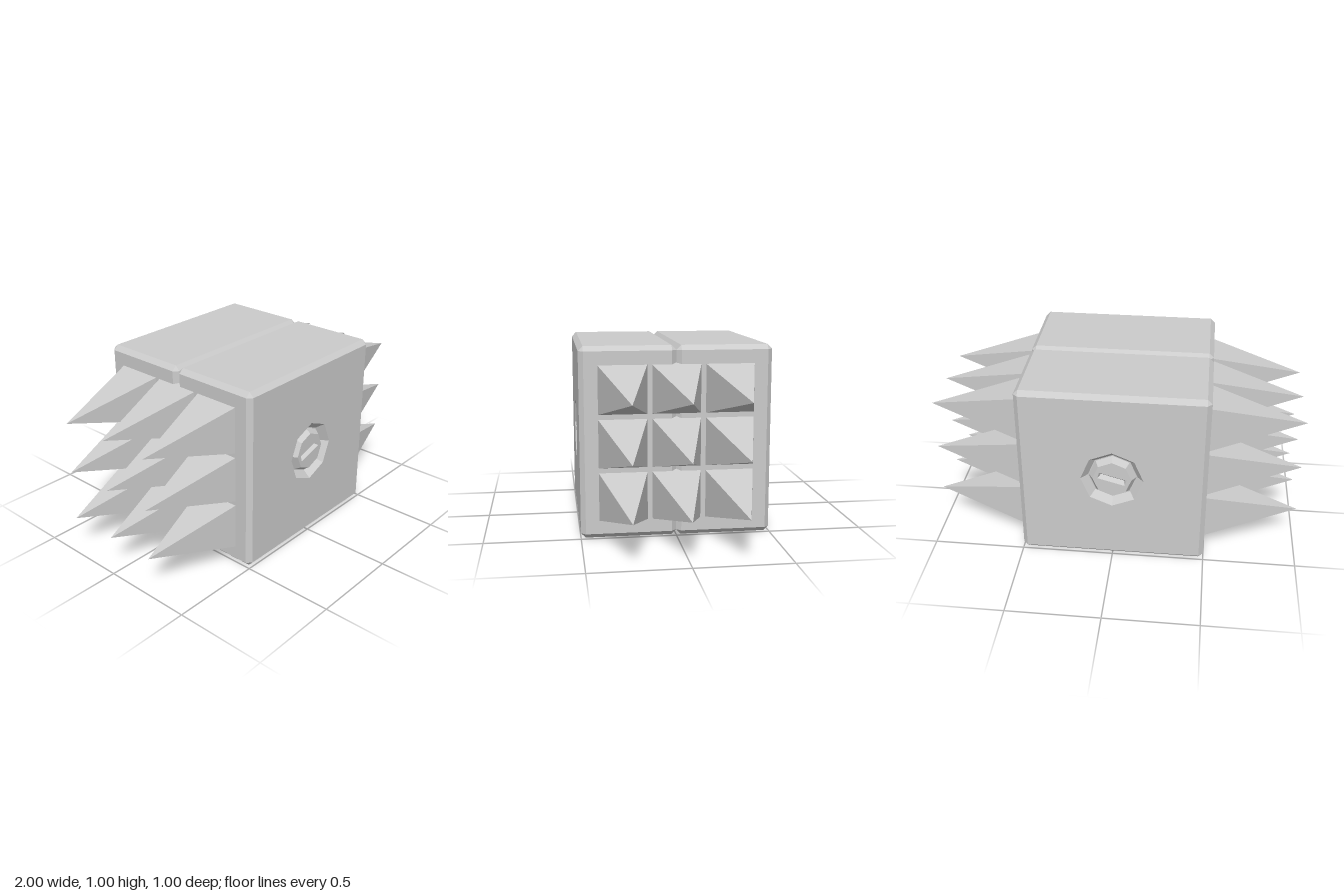
import * as THREE from 'three';

const material = new THREE.MeshStandardMaterial({ color: 0xcccccc, flatShading: true });
const BEVEL = 0.025, RIM = 0.167, HEAD = 0.103, HEAD_Z = -0.006;

function mesh(name, geometry) {
  const m = new THREE.Mesh(geometry, material);
  m.name = name;
  return m;
}

function faces(points, index) {
  const g = new THREE.BufferGeometry();
  g.setAttribute('position', new THREE.Float32BufferAttribute(points.flat(), 3));
  g.setIndex(index);
  g.computeVertexNormals();
  return g;
}

const octagon = (r) => Array.from({ length: 8 }, (_, i) =>
  new THREE.Vector2(r * Math.cos(i * Math.PI / 4), r * Math.sin(i * Math.PI / 4)));

const square = (s) => [[-s, -s], [s, -s], [s, s], [-s, s]].map(([x, y]) => new THREE.Vector2(x, y));

// Bevelled walls of one half, as rings of eight points from z = 0 to z = 0.5
function wallGeometry() {
  const a = 0.5 - BEVEL;
  const points = [], index = [];
  for (const [z, r] of [[0, a], [BEVEL, 0.5], [0.5 - BEVEL, 0.5], [0.5, a]]) {
    points.push([r, -a, z], [r, a, z], [a, r, z], [-a, r, z],
      [-r, a, z], [-r, -a, z], [-a, -r, z], [a, -r, z]);
  }
  for (let ring = 0; ring < 3; ring++) {
    for (let i = 0; i < 8; i++) {
      const p = ring * 8 + i, q = ring * 8 + (i + 1) % 8;
      // each corner closes to a single triangle at the end rings
      const corner = i % 2 === 1;
      if (!(corner && ring === 0)) index.push(p, q, p + 8);
      if (!(corner && ring === 2)) index.push(q, q + 8, p + 8);
    }
  }
  return faces(points, index);
}

// Countersunk screw with a V-shaped slot, facing +z
function createScrew(slotAngle) {
  const screw = new THREE.Group();
  screw.name = 'screw';

  const profile = [[RIM, 0], [0.132, -0.04], [0.126, -0.04], [HEAD, HEAD_Z]];
  const recess = new THREE.LatheGeometry(profile.map(([r, y]) => new THREE.Vector2(r, y)), 8);
  screw.add(mesh('countersinkAndHeadBevel', recess.rotateX(Math.PI / 2)));

  const l = 0.075, w = 0.018, keel = 0.062, depth = -0.022;
  const slotRim = [[-l, -w], [l, -w], [l, w], [-l, w]];
  const center = new THREE.Vector2();
  const top = new THREE.Shape(octagon(HEAD));
  top.holes.push(new THREE.Path(slotRim.map(([x, y]) =>
    new THREE.Vector2(x, y).rotateAround(center, slotAngle))));
  screw.add(mesh('screwHead', new THREE.ShapeGeometry(top).translate(0, 0, HEAD_Z)));

  const slot = faces(
    [...slotRim.map(([x, y]) => [x, y, 0]), [-keel, 0, depth], [keel, 0, depth]],
    [0, 1, 5, 0, 5, 4, 2, 3, 4, 2, 4, 5, 1, 2, 5, 3, 0, 4]);
  screw.add(mesh('screwSlot', slot.rotateZ(slotAngle).translate(0, 0, HEAD_Z)));
  return screw;
}

// One half of the block, with its outer face towards +z
function createHalf(name, slotAngle) {
  const half = new THREE.Group();
  half.name = name;
  half.add(mesh('walls', wallGeometry()));

  const outer = new THREE.Shape(square(0.5 - BEVEL));
  outer.holes.push(new THREE.Path(octagon(RIM)));
  half.add(mesh('outerFace', new THREE.ShapeGeometry(outer).translate(0, 0, 0.5)));

  const inner = new THREE.ShapeGeometry(new THREE.Shape(square(0.5 - BEVEL)));
  half.add(mesh('innerFace', inner.rotateY(Math.PI)));

  const screw = createScrew(slotAngle);
  screw.position.z = 0.5;
  half.add(screw);
  half.position.y = 0.5;
  return half;
}

// Three by three pyramids on one side, rooted below the seam groove
function createSpikes(side) {
  const spikes = new THREE.Group();
  spikes.name = side > 0 ? 'leftSpikes' : 'rightSpikes';
  const base = 0.47, height = 1 - base;
  const halfWidth = 0.126 * height / 0.5;
  const geometry = new THREE.ConeGeometry(halfWidth * Math.SQRT2, height, 4)
    .rotateY(Math.PI / 4)
    .rotateZ(-side * Math.PI / 2);
  for (let row = -1; row <= 1; row++) {
    for (let col = -1; col <= 1; col++) {
      const spike = mesh('spike', geometry);
      spike.position.set(side * (base + height / 2), 0.5 + row * 0.278, col * 0.278);
      spikes.add(spike);
    }
  }
  return spikes;
}

export function createModel() {
  const model = new THREE.Group();
  model.name = 'spikedBlock';

  const tilt = 0.27;
  const back = createHalf('backHalf', -tilt);
  back.rotation.y = Math.PI;
  model.add(createHalf('frontHalf', tilt), back, createSpikes(1), createSpikes(-1));
  return model;
}
